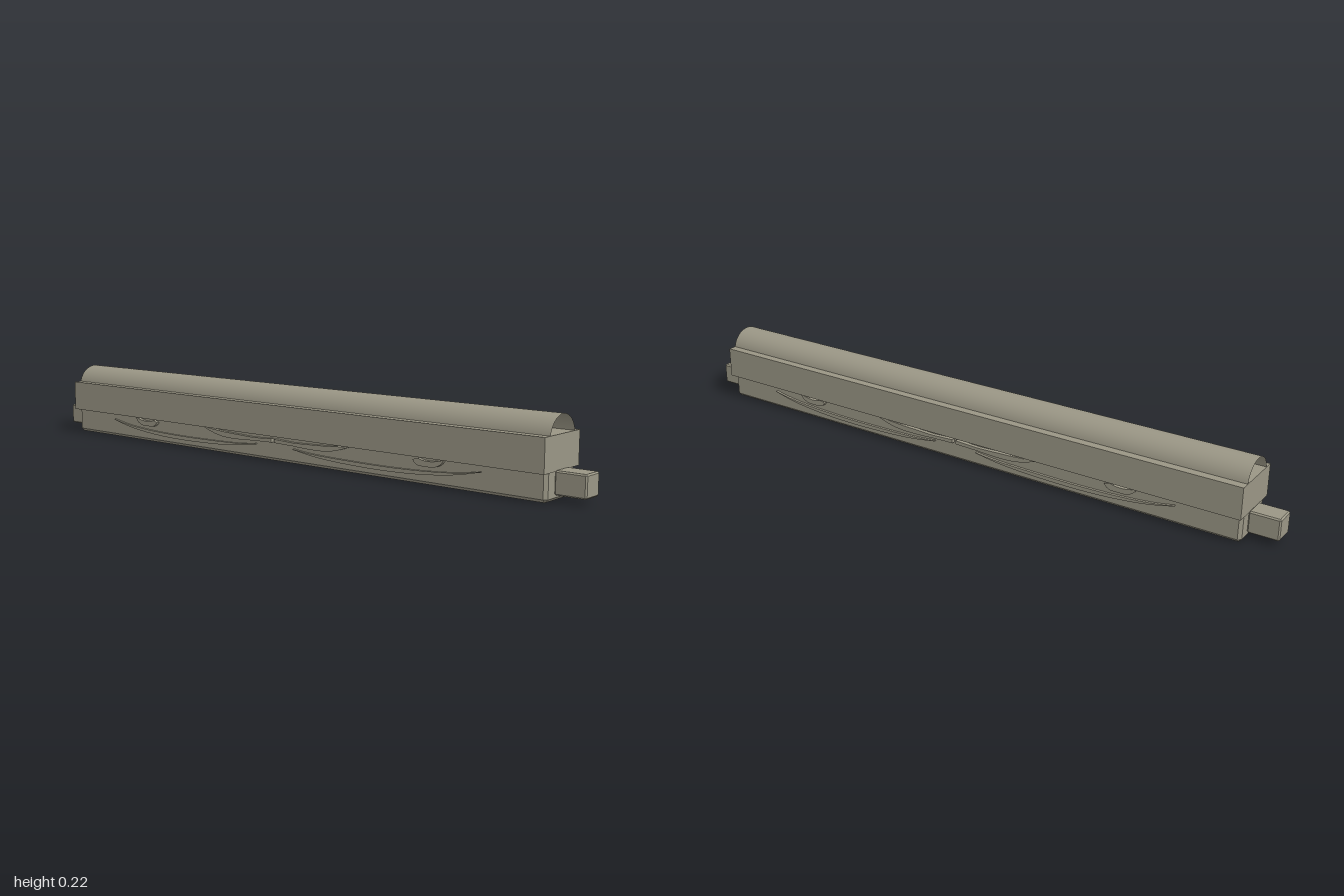
import * as THREE from 'three';
import { ConvexGeometry } from 'three/addons/geometries/ConvexGeometry.js';

// Box with every edge cut at 45 degrees, given by its minimum and maximum corners
function chamferBox(min, max, b) {
  const pts = [];
  for (const i of [0, 1]) for (const j of [0, 1]) for (const k of [0, 1]) {
    const pick = [i, j, k];
    for (let full = 0; full < 3; full++) {
      const c = pick.map((s, a) => {
        const inset = a === full ? 0 : b;
        return s ? max[a] - inset : min[a] + inset;
      });
      pts.push(new THREE.Vector3(...c));
    }
  }
  return new ConvexGeometry(pts);
}

// Outline of a tapering stroke that follows a smooth curve
function strokeShape(points, halfWidth, startWidth = 0.2, endWidth = 0.2) {
  const curve = new THREE.SplineCurve(points.map(p => new THREE.Vector2(...p)));
  const n = 20, upper = [], lower = [];
  for (let i = 0; i <= n; i++) {
    const t = i / n;
    const p = curve.getPoint(t);
    const edge = startWidth * (1 - t) + endWidth * t;
    const w = halfWidth * Math.max(edge, Math.sin(Math.PI * t));
    upper.push(new THREE.Vector2(p.x, p.y + w));
    lower.push(new THREE.Vector2(p.x, p.y - w));
  }
  return new THREE.Shape([...lower, ...upper.reverse()]);
}

const mirrorShape = s => new THREE.Shape(s.getPoints().map(p => new THREE.Vector2(-p.x, p.y)));

export function createModel() {
  const group = new THREE.Group();
  const stone = new THREE.MeshStandardMaterial({ color: 0x9a9685 });
  stone.name = 'weathered grey';
  const shellMaterial = stone;
  shellMaterial.side = THREE.DoubleSide;

  const add = (parent, name, geometry) => {
    const mesh = new THREE.Mesh(geometry, stone);
    mesh.name = name;
    parent.add(mesh);
    return mesh;
  };

  // Lower beam and the wider block resting on it
  add(group, 'lowerBeam', chamferBox([-0.91, 0, -0.071], [0.91, 0.09, 0.071], 0.009));
  add(group, 'upperBlock', new THREE.BoxGeometry(1.824, 0.094, 0.178)).position.y = 0.124;

  // Open rounded shell along the top
  const shell = new THREE.CylinderGeometry(0.064, 0.064, 1.824, 32, 1, true, 0, Math.PI);
  shell.rotateZ(Math.PI / 2);
  add(group, 'roundedTop', shell).position.y = 0.158;

  // End pegs
  for (const side of [-1, 1]) {
    const peg = add(group, side > 0 ? 'leftPeg' : 'rightPeg',
      chamferBox([-0.045, 0.016, -0.033], [0.045, 0.08, 0.033], 0.004));
    peg.position.x = side * 0.955;
  }

  // Raised carvings, one half of the pattern
  const longStroke = strokeShape(
    [[0.72, 0.058], [0.64, 0.043], [0.53, 0.033], [0.4, 0.029], [0.25, 0.031], [0.15, 0.036], [0.075, 0.045]], 0.006);
  const centreStroke = strokeShape(
    [[0.29, 0.077], [0.245, 0.067], [0.19, 0.061], [0.1, 0.06], [0.006, 0.063]], 0.008, 0.2, 0.7);
  const leaf = new THREE.Shape();
  leaf.moveTo(0.608, 0.077);
  leaf.quadraticCurveTo(0.6, 0.056, 0.57, 0.052);
  leaf.lineTo(0.53, 0.052);
  leaf.quadraticCurveTo(0.512, 0.056, 0.508, 0.068);
  leaf.lineTo(0.525, 0.073);
  leaf.quadraticCurveTo(0.56, 0.06, 0.608, 0.077);

  // Both halves of the pattern on the front and the back
  for (const face of ['front', 'back']) {
    const carvings = new THREE.Group();
    carvings.name = face + 'Carvings';
    for (const [name, shape, top] of [
      ['longStroke', longStroke, 0.079], ['centreStroke', centreStroke, 0.083], ['leaf', leaf, 0.082]]) {
      for (const half of [shape, mirrorShape(shape)]) {
        const relief = new THREE.ExtrudeGeometry(half, { depth: top - 0.068, bevelEnabled: false });
        add(carvings, name, relief).position.z = 0.068;
      }
    }
    if (face === 'back') carvings.rotation.y = Math.PI;
    group.add(carvings);
  }
  return group;
}
